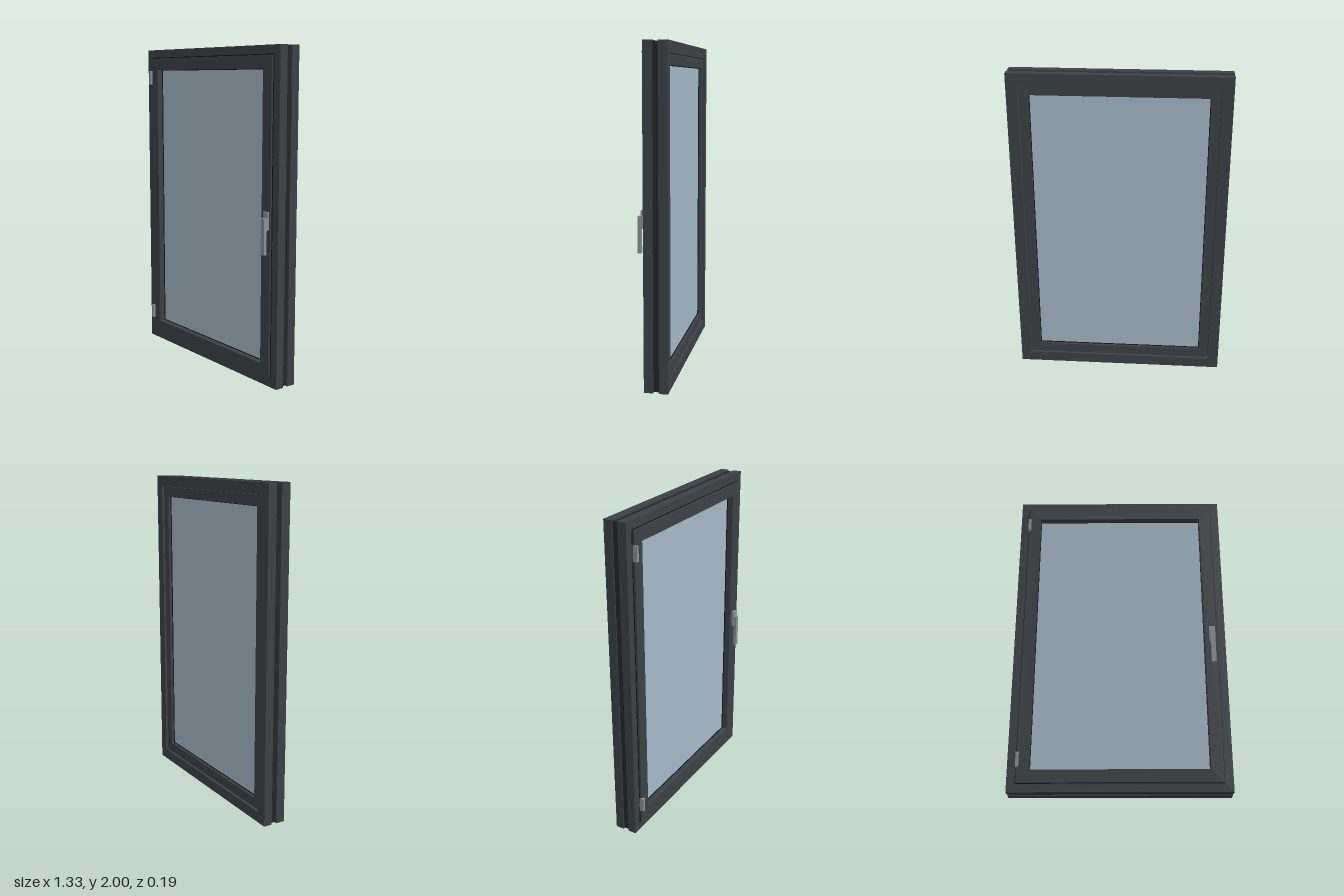
import * as THREE from 'three';

const mat = (color) => new THREE.MeshStandardMaterial({ color });

export function createModel() {
  const group = new THREE.Group();
  const anthracite = mat(0x3a4145);
  const dark = mat(0x222628);
  const rubber = mat(0x111315);
  const metal = mat(0x8c9093);
  const glassBlue = mat(0xa4b7c6);

  const add = (name, geometry, material) => {
    const mesh = new THREE.Mesh(geometry, material);
    mesh.name = name;
    group.add(mesh);
    return mesh;
  };

  // Box given by its limits on each axis
  const block = (name, [x0, x1], [y0, y1], [z0, z1], material) => {
    const mesh = add(name, new THREE.BoxGeometry(x1 - x0, y1 - y0, z1 - z0), material);
    mesh.position.set((x0 + x1) / 2, (y0 + y1) / 2, (z0 + z1) / 2);
  };

  // Rectangular ring: outer and inner half widths with the matching top/bottom margins
  const rect = (target, half, margin) => target
    .moveTo(-half, margin).lineTo(half, margin)
    .lineTo(half, 2 - margin).lineTo(-half, 2 - margin).closePath();
  const ring = (name, outer, inner, [z0, z1], material) => {
    const shape = rect(new THREE.Shape(), ...outer);
    shape.holes.push(rect(new THREE.Path(), ...inner));
    const geometry = new THREE.ExtrudeGeometry(shape, { depth: z1 - z0, bevelEnabled: false });
    add(name, geometry.translate(0, 0, z0), material);
  };

  // Fixed frame: two profiles joined by a recessed thermal break
  ring('frameFront', [0.665, 0], [0.597, 0.067], [-0.007, 0.047], anthracite);
  ring('frameThermalBreak', [0.658, 0.007], [0.597, 0.067], [-0.041, -0.007], dark);
  ring('frameBack', [0.665, 0], [0.597, 0.067], [-0.095, -0.041], anthracite);

  // Opening sash: a body within the frame and a lip lapping over its front
  ring('sashBody', [0.594, 0.07], [0.535, 0.132], [-0.082, 0.05], anthracite);
  ring('sashGasket', [0.615, 0.05], [0.59, 0.075], [0.045, 0.0495], rubber);
  ring('sashLip', [0.61, 0.055], [0.535, 0.132], [0.0495, 0.061], anthracite);

  // Glazing with its seals
  block('glass', [-0.535, 0.535], [0.132, 1.868], [-0.06, 0.02], glassBlue);
  ring('glassSealFront', [0.536, 0.131], [0.531, 0.136], [0.019, 0.025], rubber);
  ring('glassSealBack', [0.536, 0.131], [0.531, 0.136], [-0.065, -0.059], rubber);

  // Hinges on one side
  for (const [name, y] of [['lowerHinge', 0.145], ['upperHinge', 1.772]]) {
    block(name, [-0.614, -0.597], [y, y + 0.09], [0.047, 0.078], metal);
  }

  // Handle: base plate and lever
  block('handlePlate', [0.563, 0.601], [0.95, 1.055], [0.06, 0.075], metal);
  block('handleLever', [0.569, 0.598], [0.805, 1.02], [0.075, 0.095], metal);

  return group;
}
